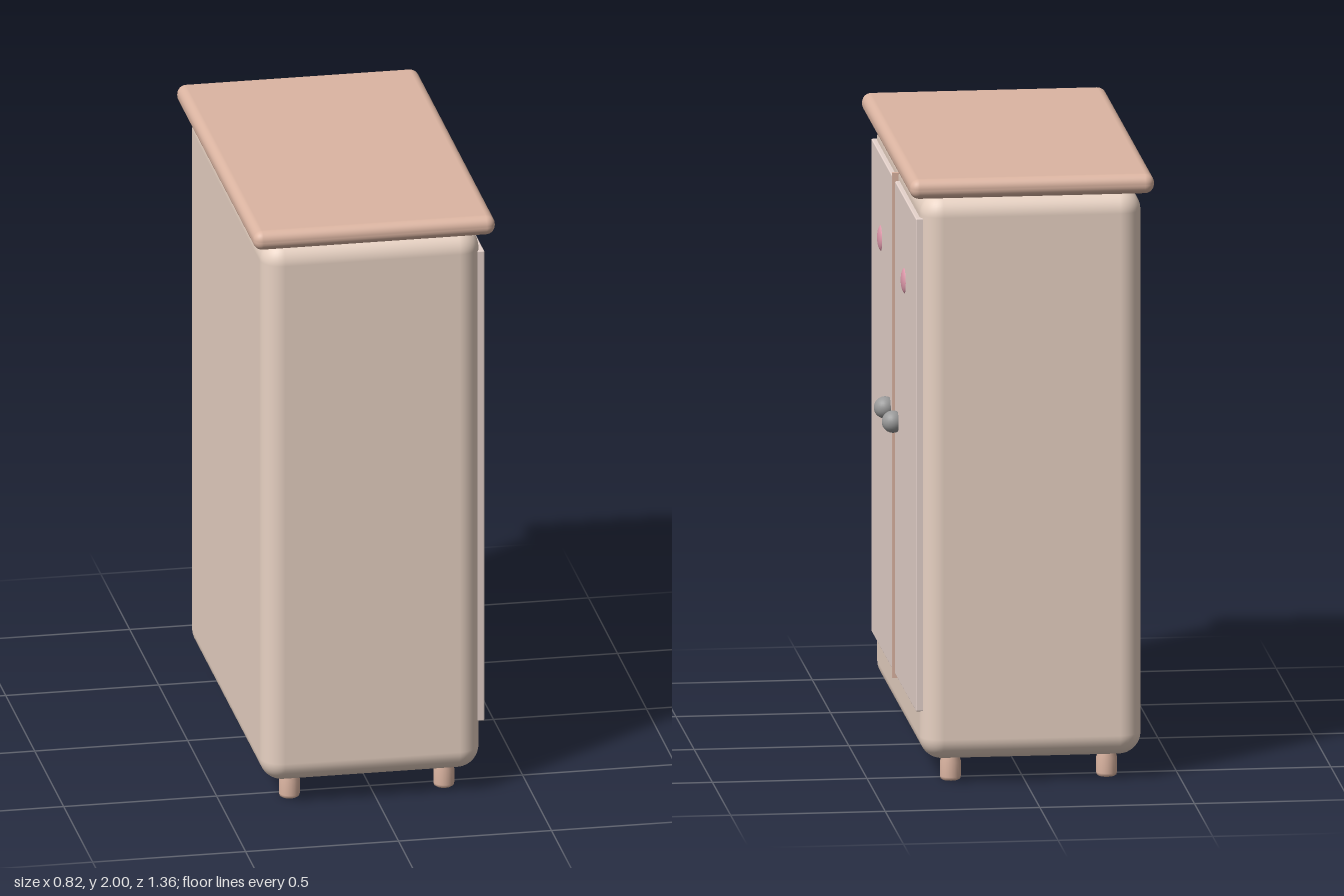
import * as THREE from 'three';
import { RoundedBoxGeometry } from 'three/addons/geometries/RoundedBoxGeometry.js';

export function createModel() {
  const group = new THREE.Group();
  const mat = (color) => new THREE.MeshStandardMaterial({ color });
  const cream = mat(0xe8d2c3), doorPaint = mat(0xe6d3cc), wood = mat(0xdcb5a2);
  const pink = mat(0xe09aac), metal = mat(0x9a9a9a);

  const add = (name, geometry, material, x, y, z) => {
    const mesh = new THREE.Mesh(geometry, material);
    mesh.name = name;
    mesh.position.set(x, y, z);
    group.add(mesh);
    return mesh;
  };

  // Rounded cabinet body and overhanging top board
  add('body', new RoundedBoxGeometry(0.715, 1.86, 1.3, 5, 0.072), cream, -0.0175, 1.01, 0);
  add('topBoard', new RoundedBoxGeometry(0.79, 0.065, 1.364, 4, 0.03), wood, -0.015, 1.9675, 0);

  // Strip between the doors
  add('doorDivider', new THREE.BoxGeometry(0.03, 1.66, 0.016), wood, 0.345, 1.05, 0);

  // Shared shapes: round knob, flattened button, leg with softened ends
  const door = new RoundedBoxGeometry(0.036, 1.62, 0.575, 2, 0.004);
  const knob = new THREE.SphereGeometry(0.036, 24, 16);
  const button = new THREE.SphereGeometry(0.043, 28, 16).scale(0.35, 1, 1);
  const leg = new THREE.LatheGeometry([
    [0, 0], [0.026, 0], [0.032, 0.004], [0.034, 0.012], [0.034, 0.06], [0.03, 0.072], [0.03, 0.1], [0, 0.1],
  ].map(([r, y]) => new THREE.Vector2(r, y)), 20);

  for (const side of [1, -1]) {
    const end = side > 0 ? 'Left' : 'Right';
    add('door' + end, door, doorPaint, 0.337, 1.05, side * 0.3235);
    add('doorKnob' + end, knob, metal, 0.37, 1.085, side * 0.108);
    add('doorButton' + end, button, pink, 0.351, 1.588, side > 0 ? 0.355 : -0.292);
    add('legBack' + end, leg, wood, -0.27, 0, side * 0.54);
    add('legFront' + end, leg, wood, 0.235, 0, side * 0.54);
  }
  return group;
}
